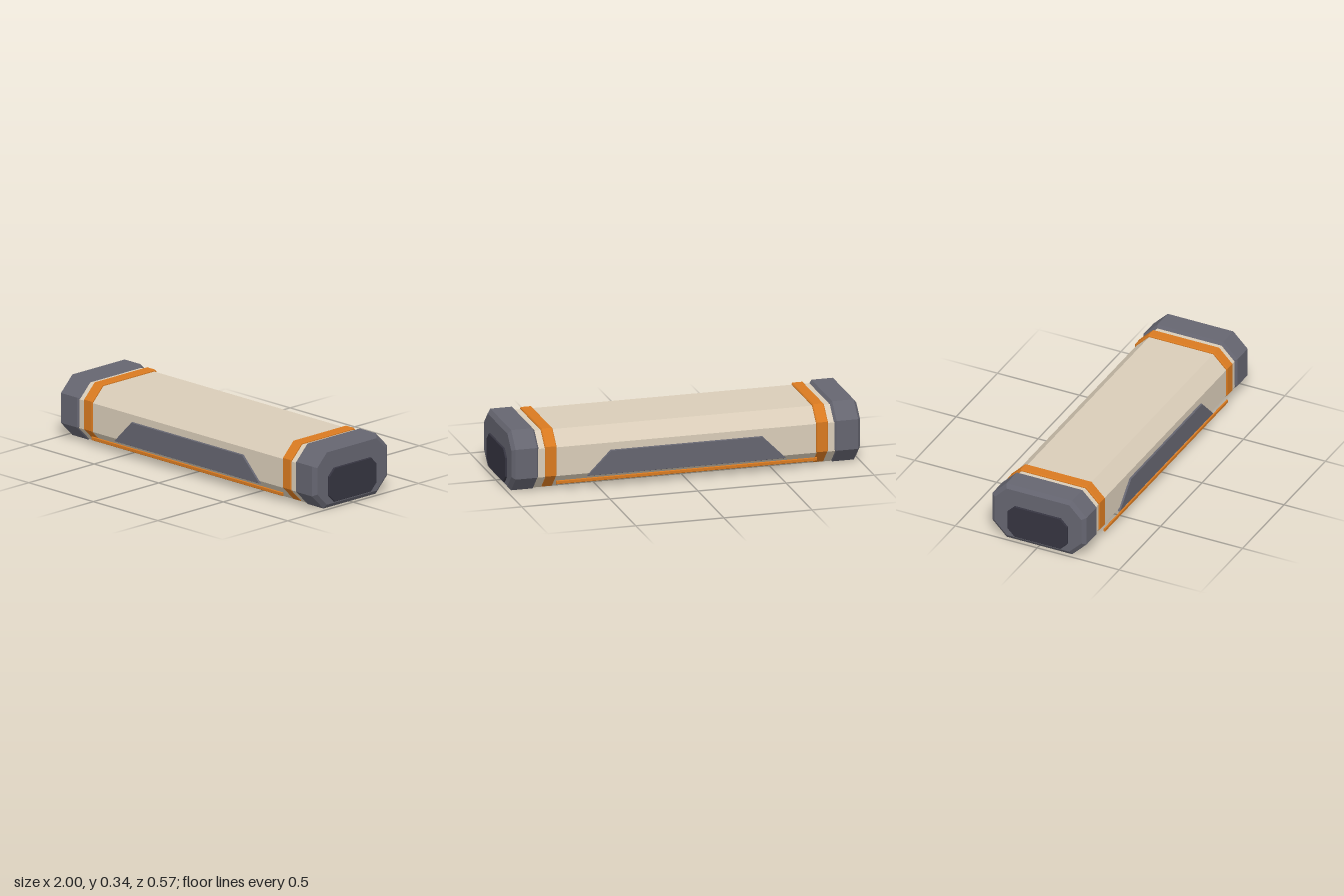
import * as THREE from 'three';

const mat = (name, color) => {
  const m = new THREE.MeshStandardMaterial({ color });
  m.name = name;
  return m;
};

// Octagon with cut corners: half width w, from y0 to y1, corner cut cw by ch
function octagon(w, y0, y1, cw, ch = cw) {
  return new THREE.Shape([
    [w - cw, y0], [w, y0 + ch], [w, y1 - ch], [w - cw, y1],
    [cw - w, y1], [-w, y1 - ch], [-w, y0 + ch], [cw - w, y0],
  ].map(([x, y]) => new THREE.Vector2(x, y)));
}

// Extrusion from z0 to z1 whose bevel stays inside the outline
function extrude(shape, z0, z1, inset = 0, thick = inset) {
  const geo = new THREE.ExtrudeGeometry(shape, {
    depth: z1 - z0 - 2 * thick,
    bevelEnabled: inset > 0,
    bevelSize: inset, bevelOffset: -inset, bevelThickness: thick, bevelSegments: 1,
  });
  return geo.translate(0, 0, z0 + thick);
}

export function createModel() {
  const beige = mat('beige shell', 0xd9ccb8);
  const grey = mat('grey armour', 0x656570);
  const dark = mat('dark pad', 0x353440);
  const orange = mat('orange trim', 0xd97a20);
  const group = new THREE.Group();

  const add = (name, geo, material, turn = 0) => {
    const mesh = new THREE.Mesh(geo, material);
    mesh.name = name;
    mesh.rotation.y = turn;
    group.add(mesh);
  };

  // Long shell between the end caps
  add('body', extrude(octagon(0.275, 0.003, 0.327, 0.08), -0.85, 0.85), beige, Math.PI / 2);

  // Bands, caps and end pads at both ends
  for (const [side, turn] of [['left', Math.PI / 2], ['right', -Math.PI / 2]]) {
    add(side + 'Band', extrude(octagon(0.282, 0.006, 0.337, 0.081), 0.737, 0.803, 0.005), orange, turn);
    add(side + 'Cap', extrude(octagon(0.287, 0, 0.344, 0.087), 0.832, 0.99, 0.023, 0.018), grey, turn);
    add(side + 'EndPad', extrude(octagon(0.182, 0.031, 0.224, 0.042), 0.975, 1, 0.003), dark, turn);
  }

  // Side panels and trim rails on front and back
  const panel = new THREE.Shape([
    [-0.565, 0.07], [0.565, 0.07], [0.43, 0.206], [-0.43, 0.206],
  ].map(([x, y]) => new THREE.Vector2(x, y)));
  for (const [side, turn] of [['front', 0], ['back', Math.PI]]) {
    add(side + 'Panel', extrude(panel, 0.271, 0.285, 0.003), grey, turn);
    const rail = extrude(octagon(0.005, -0.01, 0.01, 0.0025), -0.74, 0.74);
    rail.rotateY(Math.PI / 2).translate(0, 0.048, 0.279);
    add(side + 'Rail', rail, orange, turn);
  }
  return group;
}
